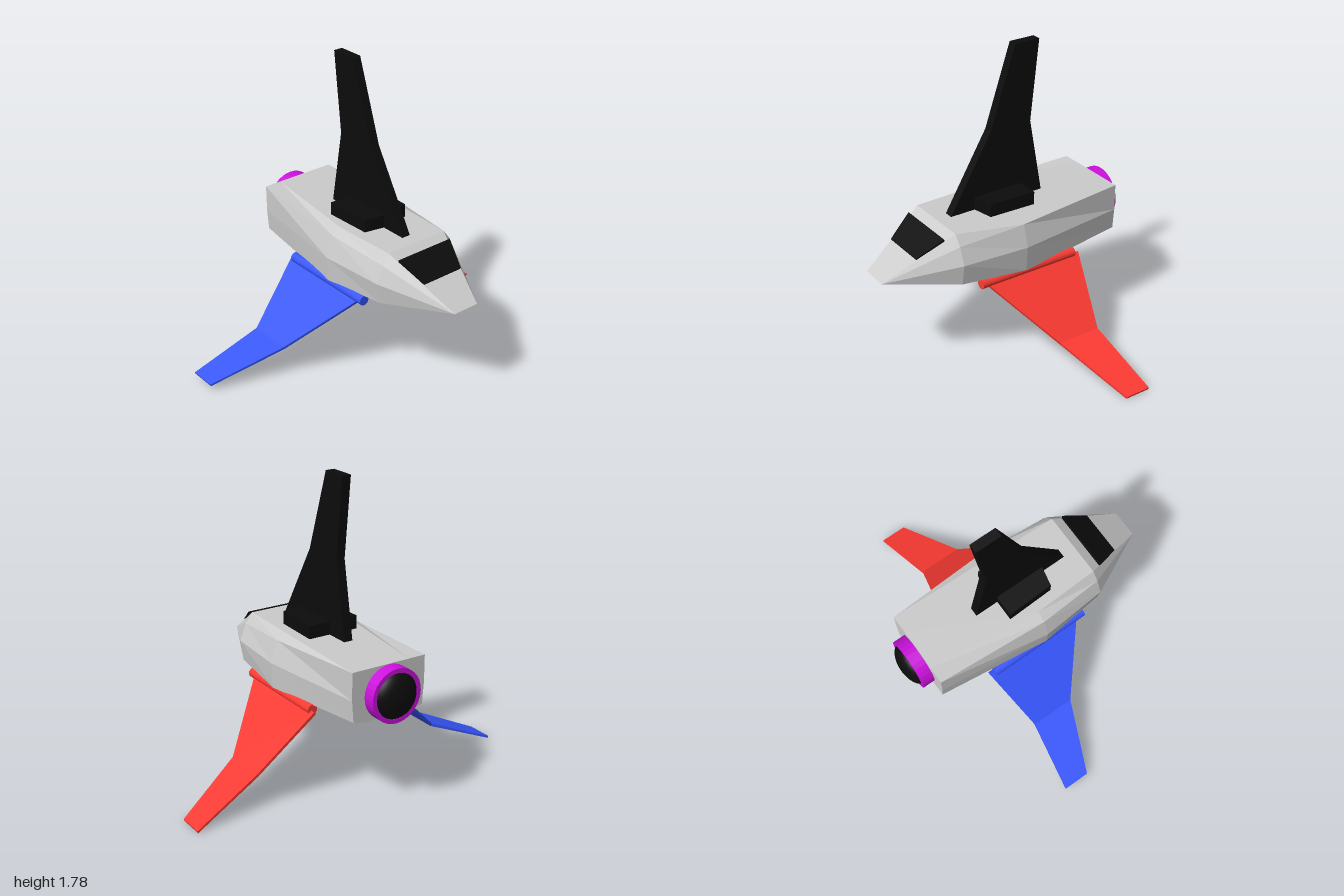
import * as THREE from 'three';

const mat = (color) => new THREE.MeshStandardMaterial({ color, flatShading: true });
const grey = mat(0xcccccc), black = mat(0x0c0c0c), purple = mat(0xcc11dd);
const blue = mat(0x3857ff), red = mat(0xff3b33);

// Flat-faced skin through equal-length rings of [x, y, z], closed at both ends.
function loft(rings) {
  const tris = [], n = rings[0].length;
  for (let i = 0; i < rings.length - 1; i++) {
    for (let j = 0; j < n; j++) {
      const k = (j + 1) % n, a = rings[i], b = rings[i + 1];
      tris.push([a[j], b[j], b[k]], [a[j], b[k], a[k]]);
    }
  }
  const first = rings[0], last = rings[rings.length - 1];
  for (let j = 1; j < n - 1; j++) {
    tris.push([first[0], first[j], first[j + 1]], [last[0], last[j + 1], last[j]]);
  }
  // Turn every face outward, whichever way the rings run
  let volume = 0;
  for (const [a, b, c] of tris) {
    volume += new THREE.Vector3(...a).dot(new THREE.Vector3(...b).cross(new THREE.Vector3(...c)));
  }
  if (volume < 0) tris.forEach((t) => t.reverse());
  const geo = new THREE.BufferGeometry();
  geo.setAttribute('position', new THREE.Float32BufferAttribute(tris.flat(2), 3));
  geo.computeVertexNormals();
  return geo;
}

// Extruded outline, centred on its thickness
function plate(points, depth) {
  const shape = new THREE.Shape(points.map(([x, y]) => new THREE.Vector2(x, y)));
  return new THREE.ExtrudeGeometry(shape, { depth, bevelEnabled: false }).translate(0, 0, -depth / 2);
}

export function createModel() {
  const ship = new THREE.Group();
  ship.name = 'spacecraft';
  const add = (name, geo, material) => {
    const mesh = new THREE.Mesh(geo, material);
    mesh.name = name;
    ship.add(mesh);
    return mesh;
  };
  const zc = -0.008; // hull centre line

  // Hull: half sections of [half width, height], roof to belly
  const stations = [
    [-0.68, [[0.13, 0.86], [0.235, 0.86], [0.235, 0.7], [0.225, 0.575], [0.15, 0.56]]],
    [0, [[0.215, 0.86], [0.275, 0.83], [0.315, 0.7], [0.305, 0.55], [0.2, 0.54]]],
    [0.4, [[0.2, 0.86], [0.245, 0.8], [0.285, 0.7], [0.265, 0.575], [0.19, 0.545]]],
    [0.8, Array(5).fill([0.082, 0.622])],
  ];
  add('hull', loft(stations.map(([x, half]) => [
    ...half.map(([w, y]) => [x, y, zc + w]),
    ...[...half].reverse().map(([w, y]) => [x, y, zc - w]),
  ])), grey);

  // Windshield lying on the sloping nose
  const pane = ([x, y, w], [x2, y2, w2]) => [
    [x, y, zc - w], [x, y, zc + w], [x2, y2, zc + w2], [x2, y2, zc - w2],
  ];
  add('windshield', loft([
    pane([0.465, 0.842, 0.187], [0.613, 0.742, 0.135]),
    pane([0.447, 0.803, 0.175], [0.602, 0.715, 0.125]),
  ]), black);

  // Tail fin and its base block with a pointed front
  add('tailFin', plate([[-0.298, 0.85], [0.322, 0.85], [0.05, 1.31],
    [-0.11, 1.786], [-0.268, 1.786], [-0.215, 1.31]], 0.054), black).position.z = zc + 0.003;
  const base = add('finBase', plate([[-0.153, -0.158], [0.135, -0.148], [0.165, 0],
    [0.135, 0.148], [-0.153, 0.158]], 0.09), black);
  base.rotation.x = -Math.PI / 2;
  base.position.set(0, 0.892, zc);

  // Engine casing runs into the hull, open at the back
  const casing = new THREE.LatheGeometry([[0, 0.315], [0.156, 0.315], [0.156, 0],
    [0.13, 0], [0.13, 0.06], [0, 0.06]].map(([r, y]) => new THREE.Vector2(r, y)).reverse(), 32);
  const engine = add('engineCasing', casing, purple.clone());
  engine.material.side = THREE.DoubleSide;
  engine.rotation.z = -Math.PI / 2;
  engine.position.set(-0.755, 0.701, zc);
  const dome = add('engineDome', new THREE.SphereGeometry(0.135, 32, 20),
    new THREE.MeshStandardMaterial({ color: 0x0c0c0c }));
  dome.scale.x = 0.55;
  dome.position.set(-0.732, 0.701, zc);

  // Drooping two-panel wings, each on a hinge tube
  const sides = [
    ['left', 1, blue, 0.255, 0.04, 0.268],
    ['right', -1, red, 0.28, 0.008, 0.276],
  ];
  for (const [name, s, material, rootZ, tipY, hingeZ] of sides) {
    const section = (back, front, y, z, ty, tz) => [
      [back, y + ty, s * (z + tz)], [front, y + ty, s * (z + tz)],
      [front, y - ty, s * (z - tz)], [back, y - ty, s * (z - tz)],
    ];
    add(name + 'Wing', loft([
      section(-0.385, 0.25, 0.53, rootZ, 0.006, 0.006),
      section(-0.296, -0.033, 0.202, 0.597, 0.007, 0.004),
      section(-0.352, -0.194, tipY, 0.998, 0.006, 0.002),
    ]), material);
    const hinge = add(name + 'Hinge', new THREE.CylinderGeometry(0.03, 0.03, 0.635, 16), material);
    hinge.rotation.z = -Math.PI / 2;
    hinge.position.set(-0.035, 0.538, s * hingeZ);
  }
  return ship;
}
